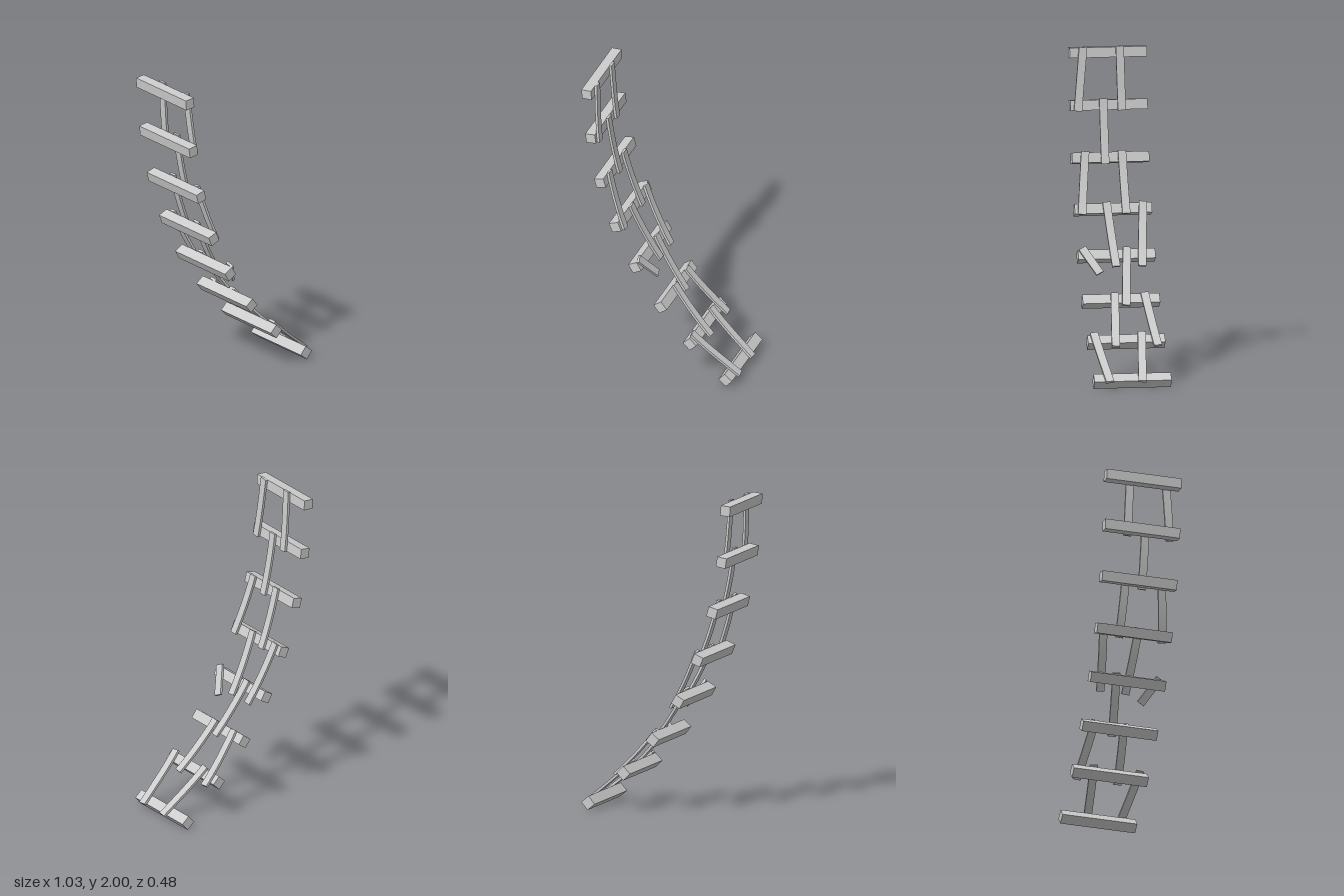
import * as THREE from 'three';

const BEAM = 0.064, BEAM_LENGTH = 0.484, THICK = 0.016, WIDTH = 0.05;

// Sagging line the planks follow, from top to bottom
const sag = new THREE.CatmullRomCurve3([
  [-0.454, 2.04], [-0.449, 1.96], [-0.422, 1.636], [-0.36, 1.319], [-0.26, 1.016],
  [-0.13, 0.75], [0.038, 0.499], [0.232, 0.278], [0.467, 0.076], [0.56, 0.002],
].map(([x, y]) => new THREE.Vector3(x, y, 0)));
sag.arcLengthDivisions = 600;
const total = sag.getLength();

// Arc length along the line at a given height
function lengthAtHeight(y) {
  let a = 0, b = 1;
  for (let i = 0; i < 30; i++) {
    const m = (a + b) / 2;
    if (sag.getPointAt(m).y > y) a = m; else b = m;
  }
  return a * total;
}

// Point, direction and outward normal at an arc length
function frame(s) {
  const u = THREE.MathUtils.clamp(s / total, 0, 1);
  const t = sag.getTangentAt(u);
  return { p: sag.getPointAt(u), t, n: new THREE.Vector3(-t.y, t.x, 0) };
}

// Flat board turned in the surface, then bent along the line
function plankGeometry([y0, z0, y1, z1]) {
  const s0 = lengthAtHeight(y0), s1 = lengthAtHeight(y1);
  const angle = Math.atan2(z1 - z0, s1 - s0);
  const geo = new THREE.BoxGeometry(Math.hypot(s1 - s0, z1 - z0), THICK, WIDTH, 10, 1, 1);
  const pos = geo.attributes.position;
  for (let i = 0; i < pos.count; i++) {
    const x = pos.getX(i), h = pos.getY(i), w = pos.getZ(i);
    const s = (s0 + s1) / 2 + Math.cos(angle) * x - Math.sin(angle) * w;
    const z = (z0 + z1) / 2 + Math.sin(angle) * x + Math.cos(angle) * w;
    const { p, n } = frame(s);
    p.addScaledVector(n, h);
    pos.setXYZ(i, p.x, p.y, z);
  }
  geo.computeVertexNormals();
  return geo;
}

export function createModel() {
  const model = new THREE.Group();
  model.name = 'brokenPlankBridge';
  const material = new THREE.MeshStandardMaterial({ color: 0xcccccc });

  // Cross beams under the planks
  const beamGeo = new THREE.BoxGeometry(BEAM, BEAM, BEAM_LENGTH);
  [1.96, 1.636, 1.319, 1.016, 0.75, 0.499, 0.278, 0.074].forEach((y, i) => {
    const { p, t, n } = frame(lengthAtHeight(y));
    const beam = new THREE.Mesh(beamGeo, material);
    beam.name = `crossBeam${i + 1}`;
    beam.position.copy(p).addScaledVector(n, -(BEAM + THICK) / 2);
    beam.rotation.z = Math.atan2(t.y, t.x);
    model.add(beam);
  });

  // Planks: upper height, upper z, lower height, lower z
  const planks = [
    [1.995, 0.16, 1.6, 0.197], [1.998, -0.07, 1.6, -0.078],
    [1.675, 0.037, 1.277, 0.037],
    [1.355, 0.16, 0.98, 0.2], [1.358, -0.07, 0.98, -0.078],
    [1.05, 0.042, 0.675, 0.012], [1.05, -0.187, 0.675, -0.15],
    [0.785, -0.065, 0.455, -0.025],
    [0.525, 0.038, 0.232, 0.075], [0.525, -0.148, 0.232, -0.19],
    [0.308, 0.2, 0.046, 0.147], [0.308, -0.1, 0.046, -0.055],
  ];
  planks.forEach((ends, i) => {
    const plank = new THREE.Mesh(plankGeometry(ends), material);
    plank.name = `plank${i + 1}`;
    model.add(plank);
  });

  // Short snapped plank
  const snapped = new THREE.Mesh(plankGeometry([0.785, 0.215, 0.638, 0.118]), material);
  snapped.name = 'snappedPlank';
  model.add(snapped);

  return model;
}
